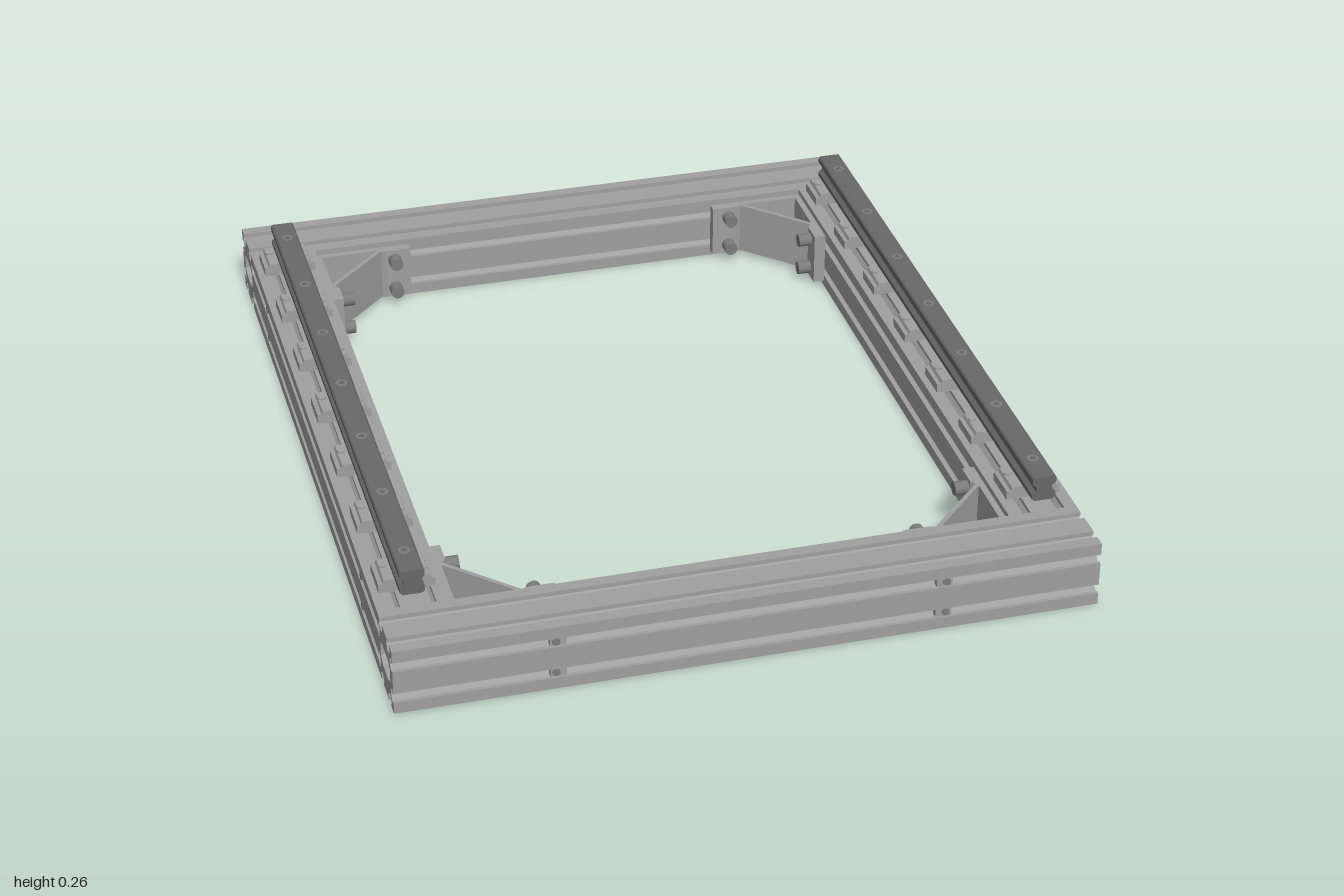
import * as THREE from 'three';

const W = 0.167, H = W / 2;      // beam section
const IN_X = 0.667, IN_Z = 0.833; // inner corners of the frame

export function createModel() {
  const model = new THREE.Group();
  const mat = (name, color) => {
    const m = new THREE.MeshStandardMaterial({ color });
    m.name = name;
    return m;
  };
  const aluminium = mat('aluminium', 0x9f9f9f);
  const railSteel = mat('rail steel', 0x686868);
  const boltSteel = mat('bolt steel', 0x7c7c7c);

  const add = (name, geo, material, x = 0, y = 0, z = 0, parent = model) => {
    const mesh = new THREE.Mesh(geo, material);
    mesh.name = name;
    mesh.position.set(x, y, z);
    parent.add(mesh);
    return mesh;
  };
  const shapeOf = pts => new THREE.Shape(pts.map(p => new THREE.Vector2(p[0], p[1])));
  const extrude = (shape, depth) => new THREE.ExtrudeGeometry(shape, { depth, bevelEnabled: false, curveSegments: 6 });

  // Beam section: two T-slots on each of four sides around a hollow core
  const side = [[-H, 0]];
  for (const c of [-H / 2, H / 2]) {
    const half = [[0.012, 0], [0.012, 0.009], [0.018, 0.009], [0.018, 0.015], [0.008, 0.027]];
    half.forEach(([w, d]) => side.push([c - w, d]));
    [...half].reverse().forEach(([w, d]) => side.push([c + w, d]));
  }
  const outline = [];
  for (let k = 0; k < 4; k++) {
    const cs = [1, 0, -1, 0][k], sn = [0, 1, 0, -1][k];
    side.forEach(([a, d]) => outline.push([a * cs - (d - H) * sn, a * sn + (d - H) * cs]));
  }
  const section = shapeOf(outline);
  const core = [[-0.054, -0.018], [-0.054, 0.018], [-0.03, 0.029], [0.03, 0.029],
    [0.054, 0.018], [0.054, -0.018], [0.03, -0.029], [-0.03, -0.029]];
  section.holes.push(new THREE.Path(core.map(p => new THREE.Vector2(p[0], p[1]))));
  const beam = len => extrude(section, len).translate(0, 0, -len / 2);

  const crossBeam = beam(1.667).rotateY(Math.PI / 2);
  const sideBeam = beam(2 * IN_Z);
  add('frontBeam', crossBeam, aluminium, 0, H, 1 - H);
  add('backBeam', crossBeam, aluminium, 0, H, -1 + H);
  add('leftBeam', sideBeam, aluminium, 0.75, H, 0);
  add('rightBeam', sideBeam, aluminium, -0.75, H, 0);

  // Linear rails with waisted section, on evenly spaced clamp pads
  const rightHalf = [[0.022, 0.197], [0.029, 0.203], [0.029, 0.214], [0.019, 0.222],
    [0.019, 0.234], [0.029, 0.243], [0.029, 0.256], [0.025, 0.26]];
  const railSection = shapeOf([...rightHalf, ...[...rightHalf].reverse().map(([x, y]) => [-x, y])]);
  const railGeo = extrude(railSection, 1.666).translate(0, 0, -IN_Z);
  const padGeo = extrude(shapeOf([[-0.066, 0.166], [0.066, 0.166], [0.066, 0.189], [0.056, 0.19],
    [0.053, 0.199], [-0.053, 0.199], [-0.056, 0.19], [-0.066, 0.189]]), 0.09).translate(0, 0, -0.045);
  const railBolt = new THREE.CylinderGeometry(0.015, 0.015, 0.004, 16);
  const boltSocket = new THREE.CylinderGeometry(0.007, 0.007, 0.002, 6);
  const padBolt = new THREE.CylinderGeometry(0.009, 0.009, 0.006, 12);
  for (const s of [1, -1]) {
    const rail = new THREE.Group();
    rail.name = s > 0 ? 'leftRail' : 'rightRail';
    rail.position.x = s * 0.75;
    model.add(rail);
    add('railBar', railGeo, railSteel, 0, 0, 0, rail);
    for (let i = -3; i <= 3; i++) {
      const z = i * 0.25;
      add('railClamp', padGeo, aluminium, 0, 0, z - 0.027, rail);
      add('railBolt', railBolt, boltSteel, 0, 0.26, z, rail);
      add('boltSocket', boltSocket, railSteel, 0, 0.262, z, rail);
      for (const t of [1, -1]) add('clampBolt', padBolt, aluminium, t * 0.044, 0.2, z - 0.027 + t * 0.015, rail);
    }
  }

  // Corner brackets: two flanges joined by a diagonal web, with bolts
  const bracketOutline = [[0, 0], [0.25, 0], [0.25, 0.026], [0.185, 0.026], [0.172, 0.021],
    [0.021, 0.172], [0.03, 0.185], [0.03, 0.243], [0, 0.243]];
  const bracketHole = [[0.016, 0.016], [0.016, 0.162], [0.162, 0.016]];
  const headGeo = new THREE.CylinderGeometry(0.017, 0.017, 0.034, 16);
  const headX = headGeo.clone().rotateZ(Math.PI / 2), headZ = headGeo.clone().rotateX(Math.PI / 2);
  const tipGeo = new THREE.CylinderGeometry(0.009, 0.009, 0.016, 12);
  const tipX = tipGeo.clone().rotateZ(Math.PI / 2), tipZ = tipGeo.clone().rotateX(Math.PI / 2);
  const nutX = new THREE.BoxGeometry(0.016, 0.023, 0.038), nutZ = new THREE.BoxGeometry(0.038, 0.023, 0.016);
  for (const sx of [1, -1]) for (const sz of [1, -1]) {
    const bracket = new THREE.Group();
    bracket.name = (sz > 0 ? 'front' : 'back') + (sx > 0 ? 'Left' : 'Right') + 'Bracket';
    model.add(bracket);
    const place = ([u, v]) => [sx * (IN_X - u), -sz * (IN_Z - v)];
    const shape = shapeOf(bracketOutline.map(place));
    shape.holes.push(shapeOf(bracketHole.map(place)));
    add('bracketBody', extrude(shape, 0.137).rotateX(-Math.PI / 2), aluminium, 0, 0.015, 0, bracket);
    for (const y of [H / 2, H * 1.5]) {
      add('crossBolt', headZ, boltSteel, sx * 0.46, y, sz * (IN_Z - 0.043), bracket);
      add('sideBolt', headX, boltSteel, sx * (IN_X - 0.047), y, sz * 0.63, bracket);
      // Slot nuts and bolt tips on the outer faces
      add('crossNut', nutZ, aluminium, sx * 0.455, y, sz * 0.987, bracket);
      add('crossBoltTip', tipZ, boltSteel, sx * 0.46, y, sz * 0.991, bracket);
      add('sideNut', nutX, aluminium, sx * 0.82, y, sz * 0.625, bracket);
      add('sideBoltTip', tipX, boltSteel, sx * 0.8245, y, sz * 0.63, bracket);
    }
  }
  return model;
}
